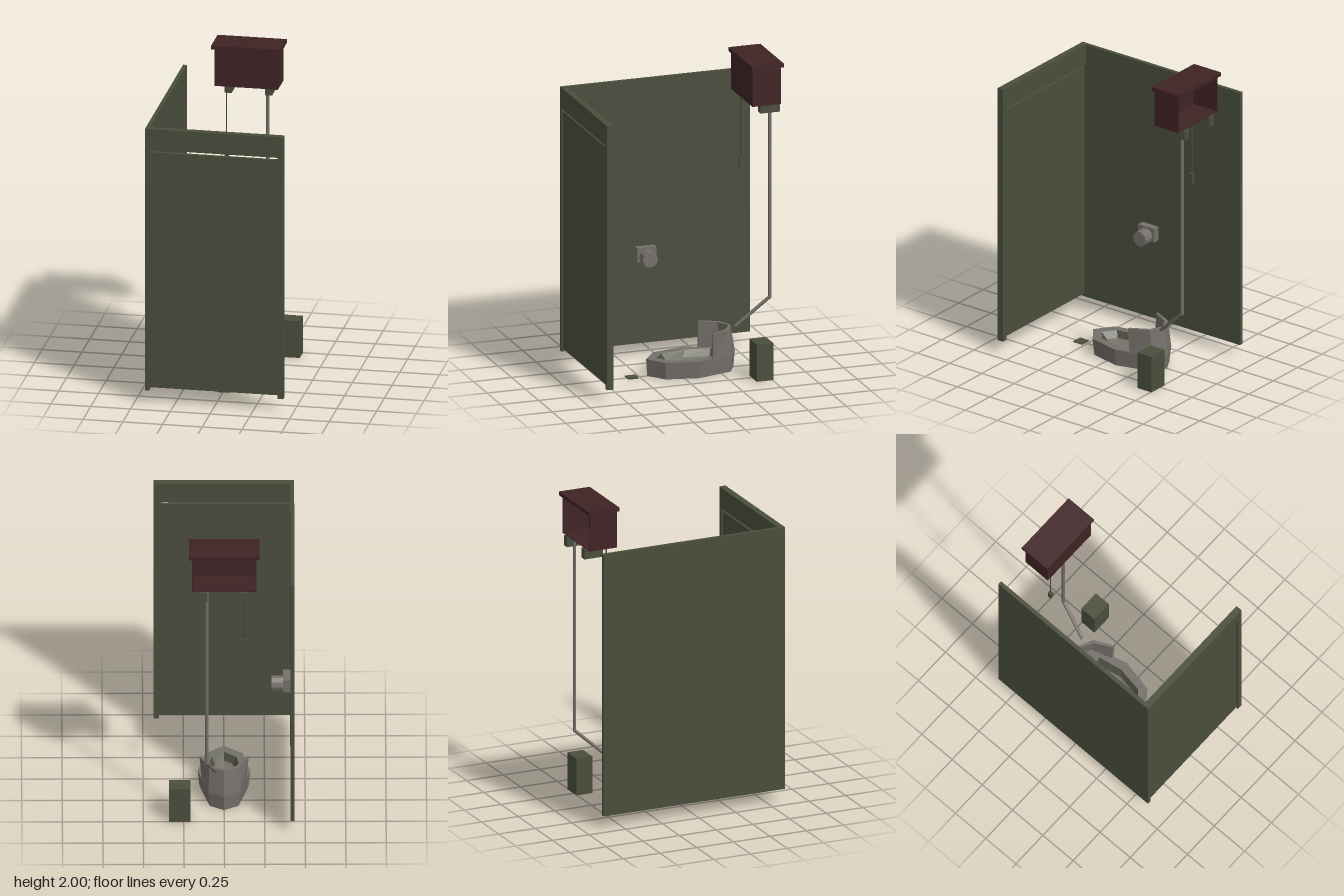
import * as THREE from 'three';

const mat = (name, color) => {
  const m = new THREE.MeshStandardMaterial({ color, side: THREE.DoubleSide, flatShading: true });
  m.name = name;
  return m;
};

export function createModel() {
  const green = mat('olive paint', 0x4a4e3c);
  const maroon = mat('maroon enamel', 0x402325);
  const grey = mat('grey ceramic', 0x746f69);
  const root = new THREE.Group();

  const add = (name, geometry, material, parent = root) => {
    const mesh = new THREE.Mesh(geometry, material);
    mesh.name = name;
    parent.add(mesh);
    return mesh;
  };
  const group = (name) => {
    const g = new THREE.Group();
    g.name = name;
    root.add(g);
    return g;
  };
  // Box given by its limits on each axis
  const box = (name, [x0, x1], [y0, y1], [z0, z1], material, parent) => {
    const mesh = add(name, new THREE.BoxGeometry(x1 - x0, y1 - y0, z1 - z0), material, parent);
    mesh.position.set((x0 + x1) / 2, (y0 + y1) / 2, (z0 + z1) / 2);
    return mesh;
  };
  // Skin through closed rings of Vector3
  const loft = (rings) => {
    const pts = [];
    for (let i = 0; i < rings.length - 1; i++) {
      const a = rings[i], b = rings[i + 1], n = a.length;
      for (let j = 0; j < n; j++) {
        const k = (j + 1) % n;
        pts.push(a[j], a[k], b[k], a[j], b[k], b[j]);
      }
    }
    const g = new THREE.BufferGeometry().setFromPoints(pts);
    g.computeVertexNormals();
    return g;
  };
  // Straight rod between two points
  const rod = (name, a, b, radius, sides, material, parent) => {
    const d = b.clone().sub(a);
    const mesh = add(name, new THREE.CylinderGeometry(radius, radius, d.length(), sides), material, parent);
    mesh.position.copy(a).add(b).multiplyScalar(0.5);
    mesh.quaternion.setFromUnitVectors(new THREE.Vector3(0, 1, 0), d.normalize());
    return mesh;
  };
  const v = (x, y, z) => new THREE.Vector3(x, y, z);

  // Stall: side wall, posts, header and recessed door
  const stall = group('stall');
  box('sideWall', [-0.435, -0.41], [0.08, 1.79], [-0.62, 0.575], green, stall);
  box('rightPost', [-0.435, -0.41], [0.08, 1.79], [0.575, 0.617], green, stall);
  box('leftPost', [0.4, 0.435], [0.08, 1.655], [0.575, 0.617], green, stall);
  box('header', [-0.41, 0.435], [1.655, 1.79], [0.575, 0.617], green, stall);
  box('door', [-0.41, 0.4], [0.1, 1.635], [0.585, 0.607], green, stall);

  // Cistern, open at the back
  const cistern = group('cistern');
  box('lid', [-0.218, 0.218], [1.976, 2], [-0.62, -0.41], maroon, cistern);
  box('frontPanel', [-0.2, 0.2], [1.735, 1.976], [-0.426, -0.42], maroon, cistern);
  box('floor', [-0.2, 0.2], [1.735, 1.741], [-0.605, -0.426], maroon, cistern);
  for (const s of [-1, 1]) {
    const at = (a, b) => [Math.min(s * a, s * b), Math.max(s * a, s * b)];
    box('sidePanel', at(0.194, 0.2), [1.741, 1.976], [-0.605, -0.426], maroon, cistern);
    box('bracket', at(0.105, 0.15), [1.67, 1.735], [-0.617, -0.49], green, cistern);
  }

  // Pull chain
  const chain = group('pullChain');
  rod('chain', v(-0.13, 1.735, -0.46), v(-0.13, 1.3, -0.46), 0.004, 5, green, chain);
  box('chainHandle', [-0.142, -0.118], [1.235, 1.305], [-0.472, -0.448], green, chain);

  // Flush pipe
  const pipe = group('flushPipe');
  const bend = v(0.108, 0.465, -0.565);
  rod('upperPipe', v(0.108, 1.74, -0.565), bend, 0.011, 8, grey, pipe);
  rod('lowerPipe', bend, v(0.053, 0.28, -0.36), 0.011, 8, grey, pipe);
  add('elbow', new THREE.IcosahedronGeometry(0.012, 0), grey, pipe).position.copy(bend);

  // Bowl: eight-sided outlines, mirrored from front to back tip
  const outline = (half, y) => [
    ...half.map(([x, z]) => v(x, y, z)),
    ...half.slice(1, -1).reverse().map(([x, z]) => v(-x, y, z)),
  ];
  const outer = [[0, 0.207], [0.117, 0.122], [0.163, -0.085], [0.098, -0.325], [0, -0.375]];
  const base = [[0, 0.2], [0.108, 0.115], [0.152, -0.085], [0.09, -0.315], [0, -0.365]];
  const inner = [[0, 0.14], [0.078, 0.08], [0.105, -0.085], [0.077, -0.24], [0, -0.302]];
  const basin = [[0, 0.1], [0.055, 0.06], [0.078, -0.06], [0.045, -0.225], [0, -0.24]];
  const bowl = group('bowl');
  const rim = outline(inner, 0.11), basinRim = outline(basin, 0.07);
  add('bowlShell', loft([outline(base, 0), outline(outer, 0.11), rim]), grey, bowl);
  add('bowlInnerWall', loft([rim, basinRim]), green, bowl);
  add('basin', loft([basinRim, basinRim.map(() => v(0, 0.03, -0.03))]), grey, bowl);

  // Splash hood: a thin upright band wrapped around the back of the bowl
  const low = [[0.137, -0.18], [0.098, -0.325], [0, -0.375]];
  const high = [[0.152, -0.18], [0.092, -0.305], [0, -0.347]];
  const t = 0.016;
  const station = (i, s) => {
    const [lx, lz] = low[i], [hx, hz] = high[i];
    const dx = i === 2 ? 0 : t, dz = i === 0 ? 0 : t;
    return [v(s * lx, 0.1, lz), v(s * hx, 0.275, hz),
      v(s * (hx - dx), 0.275, hz + dz), v(s * (lx - dx), 0.1, lz + dz)];
  };
  const band = [station(0, 1), station(1, 1), station(2, 1), station(1, -1), station(0, -1)];
  const cap = (ring) => {
    const c = v(0, 0, 0);
    ring.forEach((p) => c.addScaledVector(p, 1 / ring.length));
    return ring.map(() => c);
  };
  add('splashHood', loft([cap(band[0]), ...band, cap(band[4])]), grey, bowl);

  // Paper holder on the side wall
  const holder = group('paperHolder');
  box('holderPlate', [-0.41, -0.365], [0.62, 0.71], [0.01, 0.135], grey, holder);
  rod('paperRoll', v(-0.365, 0.65, 0.073), v(-0.295, 0.65, 0.073), 0.05, 10, grey, holder);

  // Waste bin and floor drain
  box('bin', [0.207, 0.342], [0, 0.24], [-0.505, -0.397], green);
  box('floorDrain', [-0.035, 0.035], [0, 0.006], [0.265, 0.335], green);

  return root;
}
